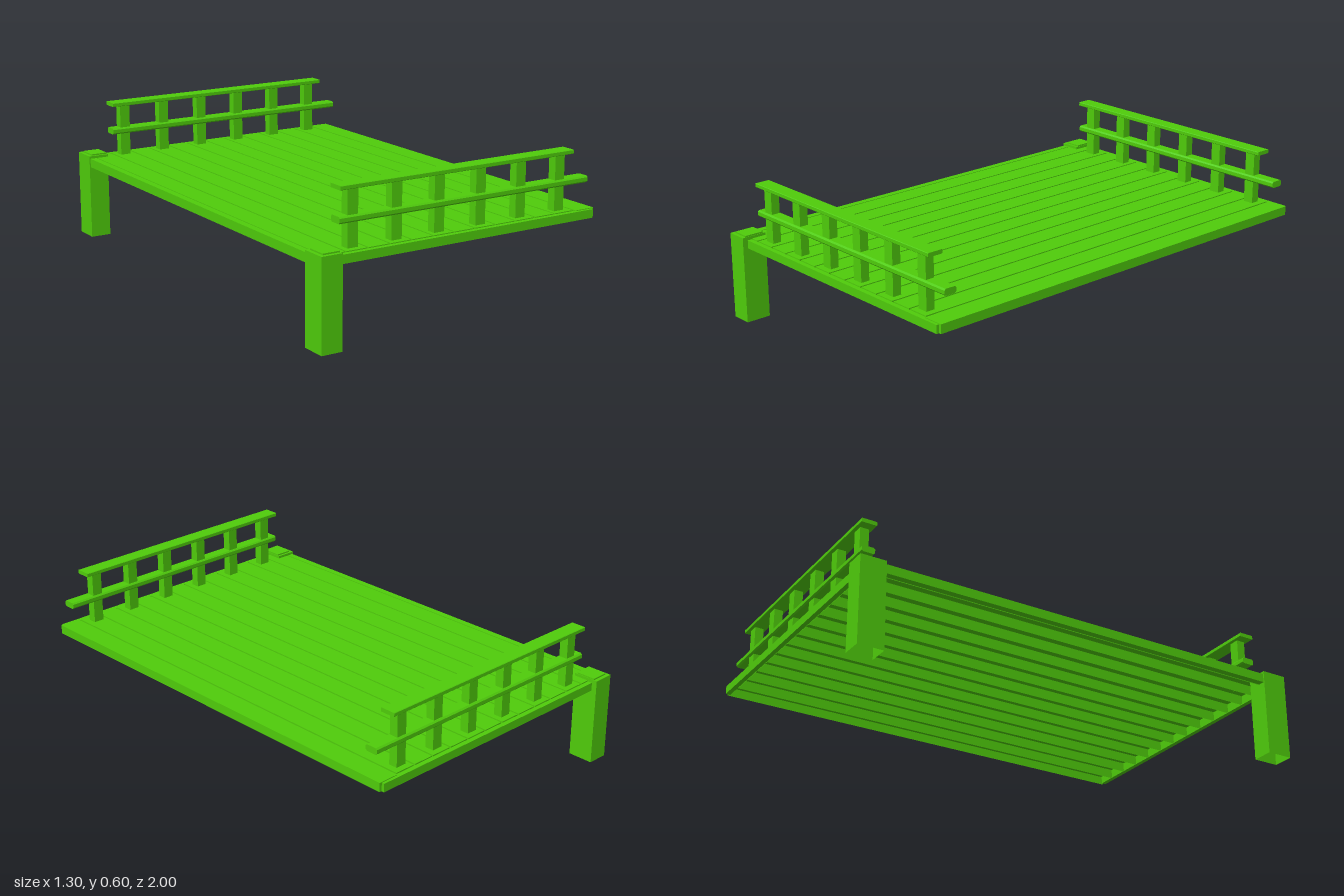
import * as THREE from 'three';

const solid = new THREE.MeshStandardMaterial({ color: 0x4fcc0b, flatShading: true });
const shell = new THREE.MeshStandardMaterial({ color: 0x4fcc0b, flatShading: true, side: THREE.DoubleSide });

// Box given by its min and max on each axis; hollow boxes have no bottom face
function box(parent, name, [x0, x1], [y0, y1], [z0, z1], hollow = false) {
  const geo = new THREE.BoxGeometry(x1 - x0, y1 - y0, z1 - z0);
  if (hollow) {
    const idx = Array.from(geo.index.array);
    idx.splice(18, 6);
    geo.setIndex(idx);
    geo.clearGroups();
  }
  const mesh = new THREE.Mesh(geo, hollow ? shell : solid);
  mesh.name = name;
  mesh.position.set((x0 + x1) / 2, (y0 + y1) / 2, (z0 + z1) / 2);
  parent.add(mesh);
  return mesh;
}

// Bar along x with chamfered long edges
function chamferedBar(parent, name, [x0, x1], [y0, y1], zc, width, c) {
  const w = width / 2, h = (y1 - y0) / 2;
  const section = new THREE.Shape([
    [-w + c, -h], [w - c, -h], [w, -h + c], [w, h - c],
    [w - c, h], [-w + c, h], [-w, h - c], [-w, -h + c],
  ].map(([a, b]) => new THREE.Vector2(a, b)));
  const geo = new THREE.ExtrudeGeometry(section, { depth: x1 - x0, bevelEnabled: false });
  geo.rotateY(Math.PI / 2);
  const mesh = new THREE.Mesh(geo, solid);
  mesh.name = name;
  mesh.position.set(x0, (y0 + y1) / 2, zc);
  parent.add(mesh);
}

export function createModel() {
  const model = new THREE.Group();
  model.name = 'dockPlatform';

  // Deck planks: open-bottomed channels running front to back
  const deck = new THREE.Group();
  deck.name = 'deck';
  model.add(deck);
  const pitch = 0.0975, plankWidth = 0.09;
  for (let i = 0; i < 13; i++) {
    const x = 0.603 - i * pitch;
    const z = i === 0 ? 0.965 : 0.955;
    box(deck, 'plank', [x - plankWidth / 2, x + plankWidth / 2], [0.32, 0.358], [-z, z], true);
  }

  // Edge board between the posts
  box(deck, 'sideBoard', [-0.645, -0.617], [0.32, 0.358], [-0.96, 0.96]);

  for (const s of [1, -1]) {
    const span = (a, b) => (s > 0 ? [a, b] : [-b, -a]);
    const side = new THREE.Group();
    side.name = s > 0 ? 'frontSide' : 'backSide';
    model.add(side);

    // Board across the plank ends
    box(side, 'endBoard', [-0.57, 0.637], [0.32, 0.355], span(0.957, 0.977));

    // Hollow corner post with a slightly raised cap
    box(side, 'post', [-0.65, -0.56], [0, 0.369], span(0.89, 1), true);
    box(side, 'postCap', [-0.635, -0.562], [0.36, 0.375], span(0.9, 0.985));

    // Railing
    for (let i = 0; i < 6; i++) {
      const x = -0.47 + i * 0.194;
      box(side, 'baluster', [x - 0.023, x + 0.023], [0.355, 0.583], span(0.891, 0.929));
    }
    chamferedBar(side, 'middleRail', [-0.533, 0.637], [0.455, 0.482], s * 0.91, 0.056, 0.006);
    chamferedBar(side, 'topRail', [-0.533, 0.556], [0.581, 0.598], s * 0.91, 0.066, 0.002);
  }

  return model;
}
